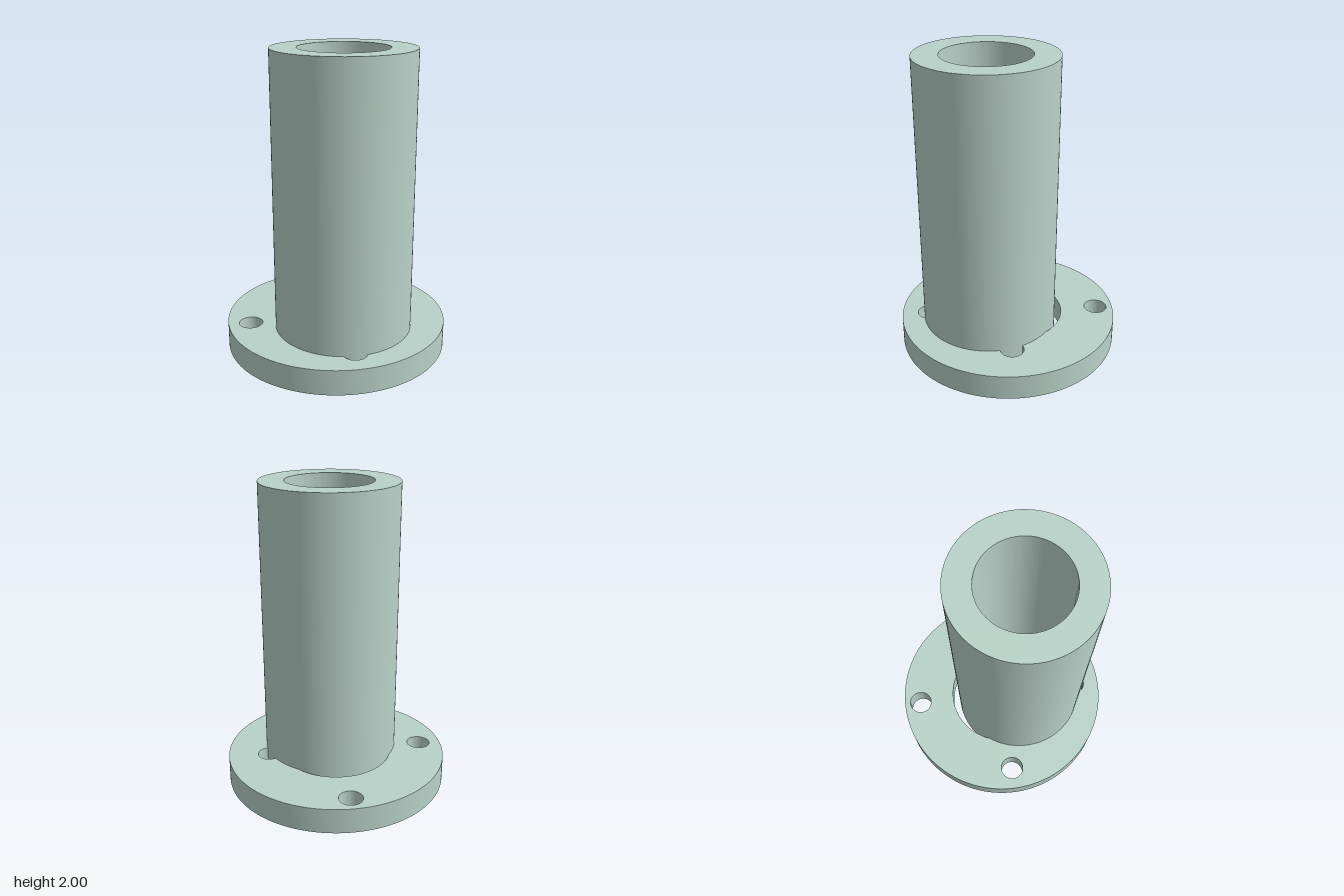
import * as THREE from 'three';
import { toCreasedNormals } from 'three/addons/utils/BufferGeometryUtils.js';

const material = new THREE.MeshStandardMaterial({ color: 0xb8d2c8 });

// Upright disc with vertical round holes; every hole is [x, z, radius] from the disc centre
function piercedDisc(name, radius, height, holes) {
  const shape = new THREE.Shape().absarc(0, 0, radius, 0, Math.PI * 2, false);
  for (const [x, z, r] of holes) {
    shape.holes.push(new THREE.Path().absarc(x, -z, r, 0, Math.PI * 2, true));
  }
  const geometry = new THREE.ExtrudeGeometry(shape, {
    depth: height, bevelEnabled: false, curveSegments: 96,
  });
  geometry.rotateX(-Math.PI / 2);
  const mesh = new THREE.Mesh(toCreasedNormals(geometry, Math.PI / 6), material);
  mesh.name = name;
  return mesh;
}

export function createModel() {
  const model = new THREE.Group();
  model.name = 'flangedSleeve';

  // Base flange with its central opening and four bolt holes
  const bolt = 0.078;
  model.add(piercedDisc('flange', 0.735, 0.17, [
    [0, 0, 0.37],
    [0, -0.617, bolt],
    [0, 0.55, bolt],
    [-0.585, 0, bolt],
    [0.46, 0, bolt],
  ]));

  // Off-centre tube running down through the flange to the ground
  const tube = piercedDisc('tube', 0.451, 2, [[0, 0, 0.285]]);
  tube.position.set(0.02, 0, 0.13);
  model.add(tube);

  return model;
}
